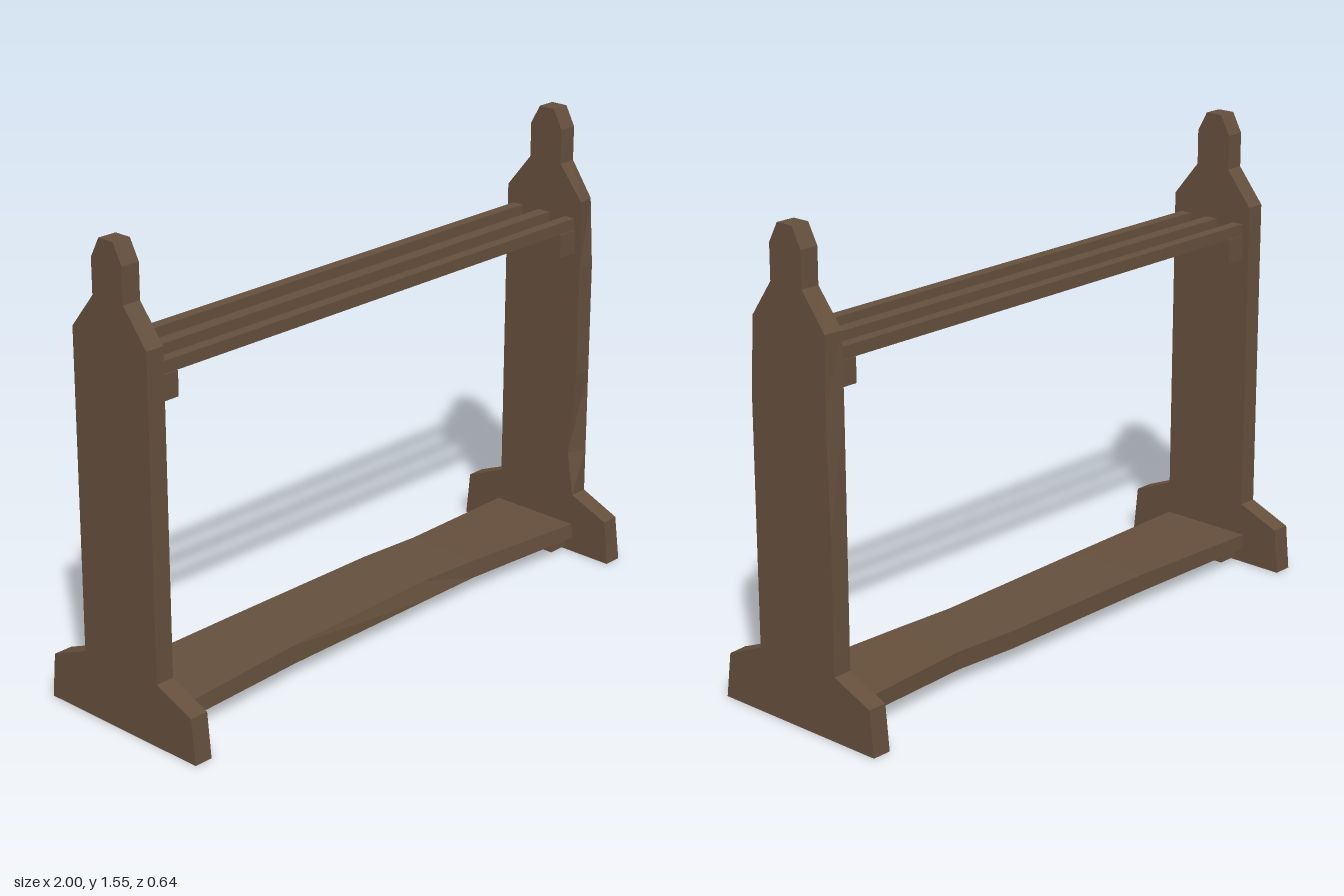
import * as THREE from 'three';

// Solid through four-cornered rings, each counter-clockwise seen from the far end.
function loft(rings) {
  const pos = [];
  const quad = (a, b, c, d) => pos.push(...a, ...b, ...c, ...a, ...c, ...d);
  for (let r = 0; r < rings.length - 1; r++) {
    const lo = rings[r], hi = rings[r + 1];
    for (let i = 0; i < 4; i++) {
      const j = (i + 1) % 4;
      quad(lo[i], lo[j], hi[j], hi[i]);
    }
  }
  const first = rings[0], last = rings[rings.length - 1];
  quad(first[3], first[2], first[1], first[0]);
  quad(...last);
  const geo = new THREE.BufferGeometry();
  geo.setAttribute('position', new THREE.Float32BufferAttribute(pos, 3));
  geo.computeVertexNormals();
  return geo;
}

export function createModel() {
  const group = new THREE.Group();
  const wood = new THREE.MeshStandardMaterial({ color: 0x654f3c });
  wood.name = 'dark brown wood';

  const add = (name, geo) => {
    const mesh = new THREE.Mesh(geo, wood);
    mesh.name = name;
    group.add(mesh);
    return mesh;
  };
  const box = (name, w, h, d, x, y, z) =>
    add(name, new THREE.BoxGeometry(w, h, d)).position.set(x, y, z);

  // Upright end panels: [y, half depth]
  const outline = [
    [0, 0.32], [0.15, 0.305], [0.21, 0.16], [1.26, 0.158],
    [1.375, 0.065], [1.49, 0.065], [1.555, 0.03],
  ];
  add('rightEndPanel', loft(outline.map(([y, d]) => [
    [-1, y, d], [-0.935, y, d], [-0.935, y, -d], [-1, y, -d],
  ])));

  // Left panel has worn edges: [y, inner front, outer front, outer back]
  const worn = [
    [0, 0.32, 0.32, 0.32], [0.15, 0.305, 0.3, 0.305], [0.21, 0.16, 0.16, 0.16],
    [0.36, 0.135, 0.16, 0.16], [0.65, 0.16, 0.16, 0.16], [1.03, 0.16, 0.16, 0.15],
    [1.26, 0.158, 0.145, 0.155], [1.375, 0.065, 0.065, 0.065],
    [1.49, 0.065, 0.065, 0.065], [1.555, 0.03, 0.03, 0.03],
  ];
  add('leftEndPanel', loft(worn.map(([y, inF, outF, outB]) => [
    [0.935, y, inF], [1, y, outF], [1, y, -outB], [0.935, y, -Math.max(inF, outB)],
  ])));

  // Bottom shelf with hewn edges: [x, top y, front bottom z, front top z, back z]
  const shelf = [
    [-0.935, 0.1, 0.165, 0.16, -0.17], [-0.4, 0.11, 0.138, 0.132, -0.16],
    [0.23, 0.11, 0.132, 0.113, -0.16], [0.46, 0.11, 0.13, 0.125, -0.145],
    [0.935, 0.1, 0.165, 0.16, -0.17],
  ];
  add('bottomShelf', loft(shelf.map(([x, top, fb, ft, b]) => [
    [x, 0.05, fb], [x, 0.05, b], [x, top, b], [x, top, ft],
  ])));

  // Three long rails near the top
  for (const z of [-0.113, 0, 0.111]) box('topRail', 1.87, 0.04, z ? 0.038 : 0.045, 0, 1.18, z);

  // Support cleats under the rails and the shelf
  for (const s of [-1, 1]) {
    box('railCleat', 0.075, 0.08, 0.27, s * 0.898, 1.12, 0);
    box('shelfCleat', 0.075, 0.045, 0.27, s * 0.898, 0.032, 0);
  }
  return group;
}
